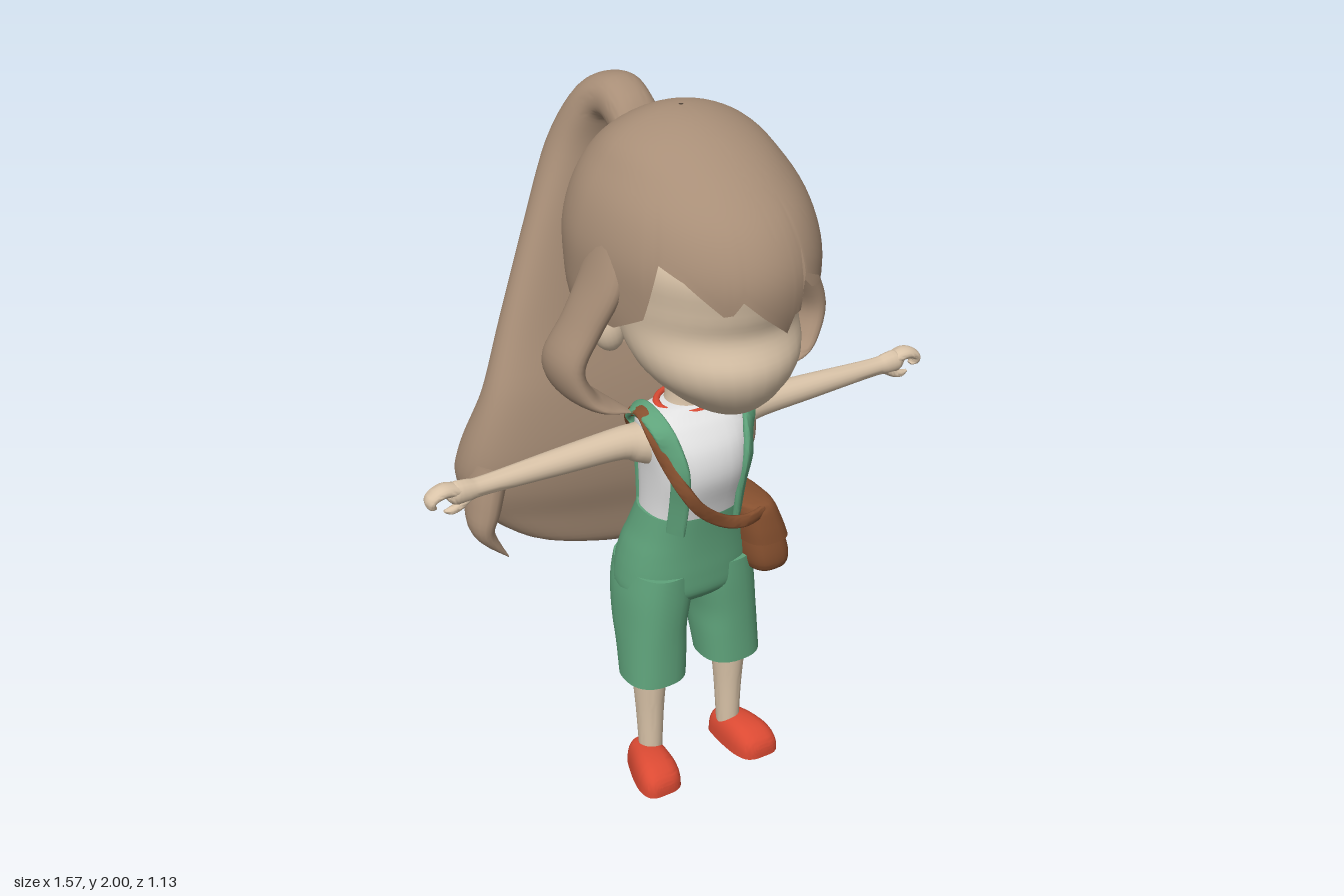
import * as THREE from 'three';
import { toCreasedNormals } from 'three/addons/utils/BufferGeometryUtils.js';

const V = (x, y, z) => new THREE.Vector3(x, y, z);

function makeMaterial(name, color, side = THREE.FrontSide) {
  const m = new THREE.MeshStandardMaterial({ color, side });
  m.name = name;
  return m;
}

// Catmull-Rom resampling of rows of numbers
function smooth(rows, steps = 5) {
  const out = [];
  for (let i = 0; i < rows.length - 1; i++) {
    const [a, b, c, d] = [-1, 0, 1, 2].map(k => rows[Math.min(rows.length - 1, Math.max(0, i + k))]);
    for (let s = 0; s < steps; s++) {
      const t = s / steps;
      out.push(b.map((_, k) => b[k] + 0.5 * t * (c[k] - a[k] + t * (2 * a[k] - 5 * b[k] + 4 * c[k] - d[k]
        + t * (3 * (b[k] - c[k]) + d[k] - a[k])))));
    }
  }
  out.push(rows[rows.length - 1]);
  return out;
}

// Oval ring: centre c, half axes u and v, squareness p
function ring(c, u, v, p = 2, n = 32) {
  const f = q => Math.sign(q) * Math.abs(q) ** (2 / p);
  return Array.from({ length: n }, (_, i) => {
    const a = i / n * Math.PI * 2;
    return c.clone().addScaledVector(u, f(Math.cos(a))).addScaledVector(v, f(Math.sin(a)));
  });
}

// Skin a list of rings, close the ends and turn the faces outwards
function loft(rings, capped = true, crease = 1) {
  const n = rings[0].length, pts = rings.flat(), idx = [];
  for (let r = 0; r < rings.length - 1; r++) {
    for (let i = 0; i < n; i++) {
      const a = r * n + i, b = r * n + (i + 1) % n;
      idx.push(a, b, b + n, a, b + n, a + n);
    }
  }
  if (capped) [0, rings.length - 1].forEach(r => {
    const k = pts.push(rings[r].reduce((s, p) => s.add(p), V(0, 0, 0)).divideScalar(n)) - 1;
    for (let i = 0; i < n; i++) {
      const a = r * n + i, b = r * n + (i + 1) % n;
      idx.push(...(r ? [a, b, k] : [b, a, k]));
    }
  });
  const mid = pts.reduce((s, p) => s.add(p), V(0, 0, 0)).divideScalar(pts.length);
  let volume = 0;
  for (let i = 0; i < idx.length; i += 3) {
    const [a, b, c] = [0, 1, 2].map(k => pts[idx[i + k]].clone().sub(mid));
    volume += a.dot(b.cross(c));
  }
  if (volume < 0) idx.reverse();
  const g = new THREE.BufferGeometry().setFromPoints(pts);
  g.setIndex(idx);
  return toCreasedNormals(g, crease);
}

// Upright body part from rows [y, centre x, half width, front z, back z]
const upright = (rows, p = 2, steps = 5) => loft(smooth(rows, steps).map(([y, cx, w, zf, zb]) =>
  ring(V(cx, y, (zf + zb) / 2), V(w, 0, 0), V(0, 0, (zf - zb) / 2), p)));

// Round limb in the xy plane from rows [x, y, z, radius, z radius]
function limb(rows, n = 16) {
  const s = smooth(rows);
  return loft(s.map(([x, y, z, r, rz], i) => {
    const a = s[Math.max(0, i - 1)], b = s[Math.min(s.length - 1, i + 1)];
    const t = V(b[0] - a[0], b[1] - a[1], 0).normalize();
    return ring(V(x, y, z), V(-t.y * r, t.x * r, 0), V(0, 0, rz), 2, n);
  }));
}

// Flat strap lying around the torso
function ribbon(points, width) {
  const s = smooth(points, 6).map(p => V(...p));
  return loft(s.map((p, i) => {
    const t = s[Math.min(s.length - 1, i + 1)].clone().sub(s[Math.max(0, i - 1)]).normalize();
    const n = V(p.x, Math.max(0, p.y - 1.08) * 3, p.z - 0.15).normalize();
    const side = t.clone().cross(n).normalize();
    return ring(p, side.clone().multiplyScalar(width / 2), n.multiplyScalar(0.01), 4, 16);
  }));
}

export function createModel() {
  const model = new THREE.Group();
  const skin = makeMaterial('skin', 0xd9c3a8), hair = makeMaterial('hair', 0xa88e77, THREE.DoubleSide);
  const green = makeMaterial('green cloth', 0x5fa37b), white = makeMaterial('white cloth', 0xe2e2e2);
  const red = makeMaterial('red', 0xdb4a33), brown = makeMaterial('brown leather', 0x86502f);
  const add = (name, geo, mat) => {
    const m = new THREE.Mesh(geo, mat);
    m.name = name;
    model.add(m);
    return m;
  };

  // Face and neck
  add('head', upright([[1.245, 0, .03, .38, .28], [1.262, 0, .085, .42, .2], [1.3, 0, .14, .465, .1],
    [1.36, 0, .197, .5, .05], [1.42, 0, .225, .507, 0], [1.5, 0, .236, .478, -.05], [1.58, 0, .245, .495, -.08],
    [1.7, 0, .25, .5, -.1], [1.85, 0, .17, .38, 0]]), skin);
  add('neck', upright([[1.14, 0, .085, .21, .06], [1.19, 0, .06, .195, .075], [1.32, 0, .057, .2, .08]]), skin);

  // Hair cap: rows [u, half width, front z, back z], where u = sqrt(2 - y)
  const cap = smooth([[2, 0, .1, .1], [1.95, .17, .3, -.05], [1.88, .235, .42, -.135], [1.8, .28, .51, -.18],
    [1.7, .305, .56, -.21], [1.6, .305, .56, -.21], [1.5, .295, .525, -.185], [1.4, .25, .45, -.115],
    [1.28, .16, .4, .03]].map(([y, ...r]) => [Math.sqrt(2 - y), ...r]), 8);
  const capAt = u => {
    const i = Math.max(1, cap.findIndex(r => r[0] >= u)), a = cap[i - 1], b = cap[i];
    return a.map((q, k) => THREE.MathUtils.lerp(q, b[k], (u - a[0]) / (b[0] - a[0])));
  };
  // Lower hair edge with pointed fringe: [degrees from front, y]
  const edge = [[-180, 1.3], [-120, 1.33], [-104, 1.42], [-90, 1.5], [-72, 1.5], [-58, 1.56], [-52, 1.72], [-42, 1.69],
    [-26, 1.61], [-22, 1.615], [-18, 1.65], [-8, 1.6], [8, 1.53], [10, 1.585], [14, 1.59], [16, 1.69], [30, 1.65],
    [44, 1.58], [56, 1.53], [72, 1.51], [90, 1.5], [104, 1.42], [120, 1.33], [180, 1.3]];
  const edgeAt = d => {
    const i = Math.max(1, edge.findIndex(e => e[0] >= d)), a = edge[i - 1], b = edge[i];
    return THREE.MathUtils.lerp(a[1], b[1], (d - a[0]) / (b[0] - a[0]));
  };
  const capRings = [];
  for (let s = 0; s <= 28; s++) {
    capRings.push(Array.from({ length: 180 }, (_, i) => {
      const d = -180 + i * 2, a = d * Math.PI / 180;
      const u = Math.sqrt(2 - edgeAt(d)) * (0.01 + 0.99 * s / 28);
      const [, w, zf, zb] = capAt(u), c = Math.cos(a);
      return V(w * Math.sin(a), 2 - u * u, .1 + c * (c > 0 ? zf - .1 : .1 - zb));
    }));
  }
  add('hairCap', loft(capRings, false, 1.5), hair);

  // Side locks: rows [inner x, y, outer x, y, back z, front z]
  const lock = smooth([[.22, 1.7, .29, 1.74, .1, .26], [.245, 1.6, .325, 1.62, .09, .27], [.295, 1.48, .37, 1.51, .08, .24],
    [.335, 1.38, .415, 1.4, .05, .225], [.31, 1.31, .395, 1.31, .03, .235], [.28, 1.28, .335, 1.26, .06, .25],
    [.24, 1.255, .245, 1.248, .19, .25]]);

  // Ponytail: rows [inner z, y, outer z, y, half width]
  const tail = smooth([[-.12, 1.8, -.08, 1.9, .07], [-.18, 1.84, -.13, 1.955, .07], [-.215, 1.86, -.22, 1.985, .075],
    [-.235, 1.84, -.34, 1.935, .1], [-.25, 1.75, -.44, 1.77, .15], [-.24, 1.55, -.445, 1.55, .235],
    [-.205, 1.3, -.44, 1.3, .335], [-.16, 1.1, -.45, 1.1, .41], [-.14, .93, -.52, .93, .465], [-.15, .78, -.56, .78, .475],
    [-.18, .66, -.53, .64, .43], [-.2, .56, -.42, .57, .31], [-.22, .53, -.32, .54, .13]]);
  add('ponytail', loft(tail.map(([zi, yi, zo, yo, w]) => {
    const r = ring(V(0, (yi + yo) / 2, (zi + zo) / 2), V(0, (yo - yi) / 2, (zo - zi) / 2), V(w, 0, 0), 2.2, 48);
    r.forEach(p => {
      p.z += .04 * (p.x / w) ** 2 * Math.min(1, w / .4);
      p.y -= .2 * p.x * THREE.MathUtils.smoothstep(1 - p.y, 0, .45);
    });
    return r;
  }), true, 1.5), hair);
  add('rightTailCurl', limb([[-.41, .9, -.27, .05, .1], [-.44, .78, -.25, .045, .08], [-.452, .7, -.23, .03, .05],
    [-.39, .61, -.2, .002, .004]]), hair);
  add('leftTailCurl', limb([[.42, .88, -.27, .05, .1], [.435, .76, -.25, .035, .07], [.42, .69, -.24, .022, .03],
    [.375, .645, -.23, .002, .004]]), hair);

  // Shirt and collar: rows [y, centre x, half width, front z, back z]
  const torso = smooth([[.8, 0, .145, .25, .045], [.9, 0, .14, .275, .04], [1, 0, .143, .305, .03], [1.08, 0, .152, .295, .035],
    [1.14, 0, .158, .255, .055], [1.168, 0, .145, .22, .075], [1.182, 0, .09, .2, .085]]);
  add('shirt', upright(torso, 2.5, 1), white);
  const collar = add('collar', new THREE.TorusGeometry(.09, .011, 10, 40), red);
  collar.rotation.x = Math.PI / 2 + .12;
  collar.scale.y = .75;
  collar.position.set(0, 1.175, .14);

  // Point on the torso surface, in front (s = 1) or behind (s = -1)
  const onTorso = (x, y, s, lift = .004) => {
    const [, , w, zf, zb] = torso.reduce((a, b) => Math.abs(b[0] - y) < Math.abs(a[0] - y) ? b : a);
    const k = (1 - Math.min(.95, Math.abs(x) / w) ** 2.5) ** .4;
    return [x, y, (zf + zb) / 2 + s * ((zf - zb) / 2 * k + lift)];
  };

  // Trousers
  add('trouserHips', upright([[.87, 0, .148, .268, .035], [.8, 0, .165, .26, .01], [.74, 0, .183, .256, -.012],
    [.67, 0, .197, .254, -.025], [.61, 0, .2, .248, -.02], [.575, 0, .17, .22, .02]], 2.4), green);

  // Paired parts
  for (const s of [1, -1]) {
    const side = s > 0 ? 'left' : 'right';
    const m = rows => rows.map(([x, ...r]) => [x * s, ...r]);
    const mx = rows => rows.map(([y, x, ...r]) => [y, x * s, ...r]);

    add(side + 'HairLock', loft(lock.map(([xi, yi, xo, yo, zb, zf]) =>
      ring(V(s * (xi + xo) / 2, (yi + yo) / 2, (zb + zf) / 2), V(s * (xo - xi) / 2, (yo - yi) / 2, 0),
        V(0, 0, (zf - zb) / 2), 2, 24)), true, 1.5), hair);

    const ear = add(side + 'Ear', new THREE.SphereGeometry(1, 20, 14), skin);
    ear.scale.set(.045, .066, .042);
    ear.position.set(s * .24, 1.445, .13);
    ear.rotation.z = -s * .25;

    add(side + 'Strap', ribbon([onTorso(.1 * s, .83, 1), onTorso(.1 * s, .93, 1), onTorso(.108 * s, 1.03, 1),
      onTorso(.12 * s, 1.1, 1), [.135 * s, 1.15, .235], [.14 * s, 1.176, .18], [.14 * s, 1.176, .12],
      [.135 * s, 1.14, .07], onTorso(.12 * s, 1.08, -1), onTorso(.105 * s, .95, -1), onTorso(.1 * s, .83, -1)], .055), green);

    add(side + 'Arm', limb(m([[.1, 1.075, .145, .07, .07], [.16, 1.088, .143, .055, .055], [.22, 1.098, .14, .044, .045],
      [.4, 1.098, .14, .036, .037], [.62, 1.096, .14, .026, .026], [.67, 1.096, .14, .031, .027],
      [.705, 1.098, .14, .031, .028], [.725, 1.1, .14, .015, .018]]), 20), skin);
    add(side + 'Fingers', limb(m([[.69, 1.105, .14, .018, .026], [.735, 1.115, .14, .018, .028], [.77, 1.102, .14, .014, .027],
      [.773, 1.082, .14, .011, .022], [.76, 1.073, .14, .004, .01]])), skin);
    add(side + 'Thumb', limb(m([[.665, 1.085, .145, .016, .016], [.695, 1.064, .148, .013, .014], [.72, 1.057, .15, .011, .012],
      [.74, 1.06, .15, .004, .005]])), skin);

    add(side + 'TrouserLeg', upright(mx([[.68, .098, .092, .25, -.015], [.6, .104, .1, .25, -.015], [.5, .116, .094, .248, .01],
      [.42, .12, .093, .248, .043], [.33, .125, .091, .25, .07]]), 2.4), green);
    add(side + 'Leg', upright(mx([[.4, .133, .05, .22, .095], [.32, .134, .047, .215, .1], [.2, .134, .039, .205, .115],
      [.06, .134, .033, .2, .128]])), skin);

    // Shoe: rows [z, centre x, half width, height], flat below
    add(side + 'Shoe', loft(smooth([[.113, .14, .03, .05], [.12, .142, .045, .075], [.16, .148, .055, .085], [.21, .156, .063, .088],
      [.26, .163, .065, .08], [.295, .167, .056, .06], [.31, .169, .038, .04], [.314, .17, .02, .025]])
      .map(([z, cx, w, h]) => {
        const r = ring(V(s * cx, 0, z), V(w, 0, 0), V(0, h, 0), 2.8, 32);
        r.forEach(p => { p.y = Math.max(0, p.y); });
        return r;
      })), red);
  }

  // Shoulder bag with flap and crossing strap
  add('bagBody', upright([[.83, .175, .045, .265, .075], [.76, .188, .063, .28, .06], [.68, .202, .072, .293, .047],
    [.635, .208, .062, .285, .055], [.617, .208, .035, .25, .09]], 3), brown);
  add('bagFlap', upright([[.853, .165, .03, .245, .1], [.84, .17, .055, .275, .07], [.78, .184, .068, .29, .054],
    [.73, .196, .074, .296, .046]], 3), brown);
  add('bagStrap', ribbon([[.165, .83, .27], [.1, .83, .285], [.03, .852, .288], [-.05, .915, .3], [-.1, .985, .295], [-.135, 1.07, .25],
    [-.152, 1.14, .21], [-.15, 1.178, .15], [-.14, 1.14, .07], [-.1, 1.06, .025], [-.03, .98, .015], [.06, .91, .02],
    [.14, .86, .06], [.175, .83, .1]], .036), brown);

  return model;
}
